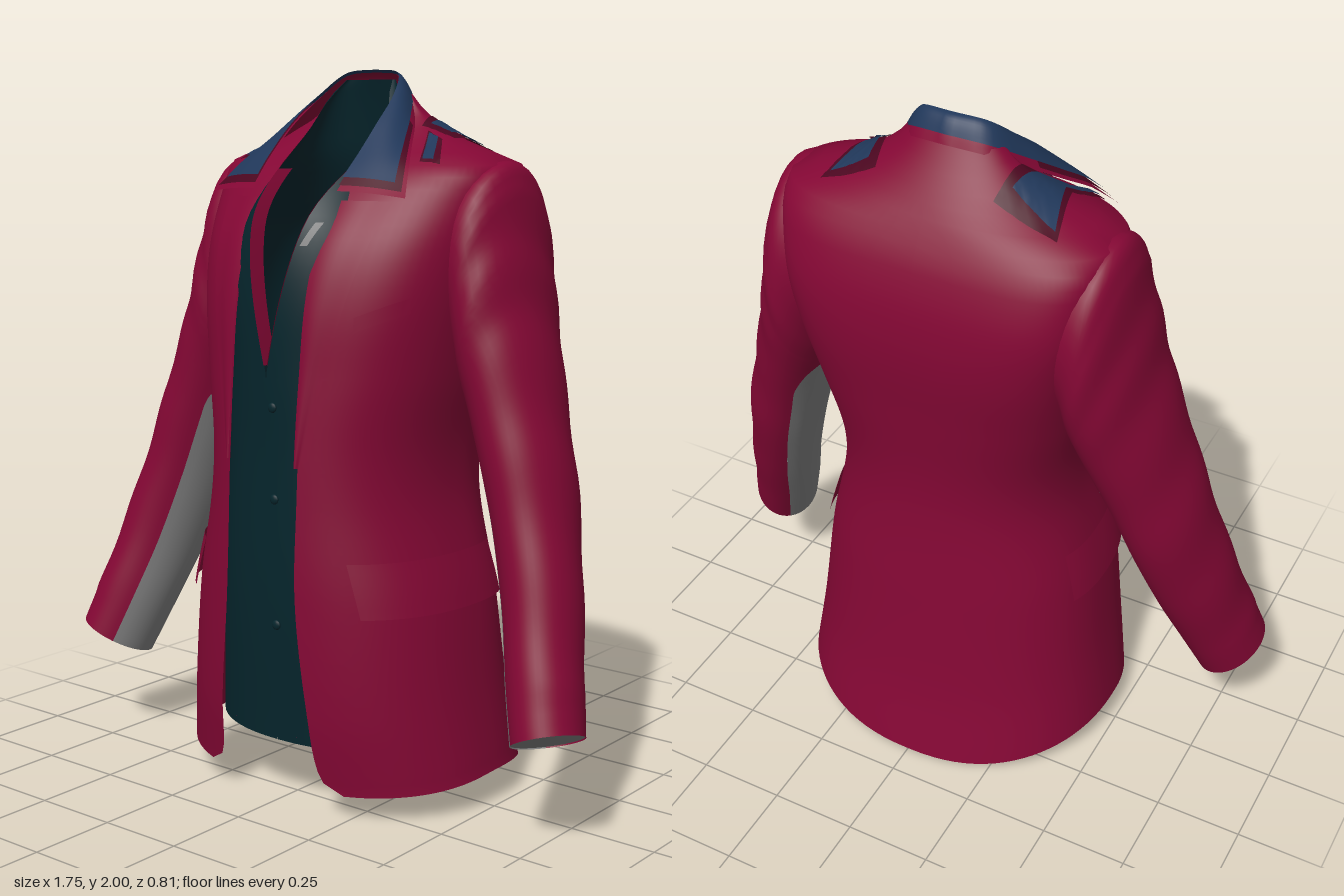
import * as THREE from 'three';

const mat = (name, color) => new THREE.MeshStandardMaterial({ name, color, side: THREE.DoubleSide });

// Smooth lookup through rows of [key, value, value, ...]
function track(rows) {
  const slope = (i, c) => {
    const a = rows[Math.max(i - 1, 0)], b = rows[Math.min(i + 1, rows.length - 1)];
    return (b[c] - a[c]) / (b[0] - a[0]);
  };
  return (k) => {
    k = THREE.MathUtils.clamp(k, rows[0][0], rows[rows.length - 1][0]);
    let i = 0;
    while (i < rows.length - 2 && k > rows[i + 1][0]) i++;
    const h = rows[i + 1][0] - rows[i][0], f = (k - rows[i][0]) / h, f2 = f * f, f3 = f2 * f;
    return rows[i].slice(1).map((p, j) => (2 * f3 - 3 * f2 + 1) * p + (f3 - 2 * f2 + f) * h * slope(i, j + 1)
      + (3 * f2 - 2 * f3) * rows[i + 1][j + 1] + (f3 - f2) * h * slope(i + 1, j + 1));
  };
}

// Grid surface from a rule (u, v in 0..1) => [x, y, z]
function surface(name, material, nu, nv, rule) {
  const pos = [], index = [];
  for (let j = 0; j <= nv; j++) for (let i = 0; i <= nu; i++) pos.push(...rule(i / nu, j / nv));
  for (let j = 0; j < nv; j++) for (let i = 0; i < nu; i++) {
    const a = j * (nu + 1) + i, b = a + nu + 1;
    index.push(a, a + 1, b, a + 1, b + 1, b);
  }
  const g = new THREE.BufferGeometry();
  g.setAttribute('position', new THREE.Float32BufferAttribute(pos, 3));
  g.setIndex(index);
  g.computeVertexNormals();
  const m = new THREE.Mesh(g, material);
  m.name = name;
  return m;
}

const { lerp, clamp } = THREE.MathUtils;

// Jacket sections: y, half width, back z, front z, side z, front roundness, back roundness
const jacket = track([
  [0.10, 0.485, -0.41, 0.375, 0, 2.3, 2.3], [0.30, 0.455, -0.365, 0.405, 0, 2.3, 2.3], [0.60, 0.415, -0.33, 0.412, 0, 2.3, 2.3],
  [0.85, 0.362, -0.31, 0.405, 0, 2.3, 2.3], [1.0, 0.36, -0.312, 0.397, -0.01, 2.3, 2.4], [1.2, 0.395, -0.335, 0.375, -0.03, 2.4, 2.8],
  [1.4, 0.425, -0.358, 0.348, -0.05, 2.5, 3.5], [1.55, 0.445, -0.352, 0.30, -0.07, 2.5, 4], [1.68, 0.46, -0.318, 0.215, -0.08, 2.4, 3.8],
  [1.735, 0.464, -0.29, 0.165, -0.08, 2.3, 3.3], [1.765, 0.45, -0.272, 0.125, -0.08, 2.2, 2.7], [1.80, 0.35, -0.247, 0.08, -0.08, 2, 2.1],
  [1.85, 0.24, -0.21, 0.02, -0.08, 2, 2], [1.90, 0.17, -0.172, -0.045, -0.08, 2, 2], [1.94, 0.135, -0.145, -0.07, -0.08, 2, 2]]);
const jacketEdge = track([
  [0.10, 0.24], [0.12, 0.195], [0.17, 0.17], [0.3, 0.155], [0.6, 0.122], [0.9, 0.12],
  [1.2, 0.122], [1.65, 0.13], [1.85, 0.15], [1.94, 0.12]]);

// Shirt sections in the same layout
const shirt = track([
  [0.18, 0.38, -0.30, 0.335, 0, 2.2, 2.2], [0.6, 0.35, -0.27, 0.36, 0, 2.2, 2.2], [1.0, 0.31, -0.25, 0.362, 0, 2.2, 2.2],
  [1.2, 0.31, -0.26, 0.37, 0, 2, 2], [1.4, 0.31, -0.27, 0.37, 0, 2, 2], [1.55, 0.28, -0.25, 0.352, 0, 2, 2],
  [1.65, 0.23, -0.2, 0.315, 0, 2, 2], [1.76, 0.175, -0.155, 0.21, -0.01, 2, 2], [1.85, 0.148, -0.132, 0.085, -0.03, 2, 2],
  [1.93, 0.12, -0.112, -0.005, -0.05, 2, 2], [1.98, 0.085, -0.097, -0.06, -0.08, 2, 2]]);
const shirtEdge = track([[0.18, 0.001], [1.2, 0.001], [1.24, 0.008], [1.65, 0.1], [1.85, 0.13], [1.98, 0.08]]);

// Point on a section by angle, measured from the front
function ringPoint(section, th, y, out = 0) {
  const [w, zb, zf, zc, nf, nb] = section(y), s = Math.sin(th), c = Math.cos(th);
  const d = c > 0 ? zf - zc : zc - zb, n = c > 0 ? nf : nb;
  return [(w + out) * Math.sign(s) * Math.abs(s) ** (2 / n), y, zc + (d + out) * Math.sign(c) * Math.abs(c) ** (2 / n)];
}
const angleAt = (section, x, y) => {
  const [w, , , , n] = section(y);
  return Math.asin(Math.min(Math.abs(x) / w, 0.99) ** (n / 2));
};
// Point lying on the front of a section at a given x
const onFront = (section, x, y, out) => {
  const p = ringPoint(section, angleAt(section, x, y), y, out);
  return [x, y, p[2]];
};
// Height of the jacket shoulders above x, z
function shoulderY(x, z) {
  for (let y = 1.93; y > 1.5; y -= 0.002) {
    const [w, zb, zf, zc, nf, nb] = jacket(y), d = z > zc ? zf - zc : zc - zb, n = z > zc ? nf : nb;
    if (Math.abs(x / w) ** n + Math.abs((z - zc) / d) ** n <= 1) return y;
  }
  return 1.5;
}

// Sleeve rings: t, outer x y, inner x y, centre z, depth
const sleeve = track([
  [0, 0.385, 1.76, 0.32, 1.32, -0.09, 0.19], [1, 0.475, 1.757, 0.36, 1.25, -0.09, 0.208],
  [2, 0.515, 1.645, 0.38, 1.19, -0.085, 0.213], [3, 0.55, 1.50, 0.40, 1.13, -0.07, 0.205],
  [4, 0.59, 1.35, 0.43, 1.05, -0.055, 0.187], [5, 0.652, 1.15, 0.48, 0.91, -0.025, 0.165],
  [6, 0.715, 0.94, 0.53, 0.76, 0.005, 0.15], [7, 0.775, 0.72, 0.59, 0.57, 0.06, 0.132],
  [8, 0.83, 0.51, 0.64, 0.41, 0.125, 0.12], [9, 0.875, 0.345, 0.69, 0.265, 0.18, 0.11]]);
function sleevePoint(a, t, side, shrink = 1) {
  const [ox, oy, ix, iy, cz, rz] = sleeve(t), c = Math.cos(a), s = Math.sin(a);
  const fold = t > 1.5 && t < 8.5 ? 0.02 * Math.sin(t * 4.6 + 1.5 * s) * Math.max(0, c + 0.3) : 0;
  const r = shrink * (1 + fold);
  return [side * ((ox + ix) / 2 + (ox - ix) / 2 * c * r), (oy + iy) / 2 + ((oy - iy) / 2 * c + 0.004 * t * s) * r, cz + rz * s * r];
}
// Half angle of the grey inner panel, arched at the armpit
const panelAngle = (t) => 0.88 * Math.sqrt(clamp((t - 2.9) / 1.6, 0, 1));

// Collar: fold edge and falling edge, from centre back to the tip
const collarLine = track([
  [0, 0, 2.0, -0.10, 0, 1.94, -0.15], [1, 0.09, 1.99, -0.085, 0.115, 1.925, -0.125], [2, 0.13, 1.93, -0.015, 0.19, 1.86, -0.03],
  [3, 0.148, 1.855, 0.08, 0.24, 1.805, 0.05], [4, 0.152, 1.77, 0.17, 0.29, 1.75, 0.13], [5, 0.145, 1.69, 0.25, 0.335, 1.675, 0.205]]);
function collarPoint(t, v, lift) {
  const [ax, ay, az, bx, by, bz] = collarLine(Math.abs(t)), k = Math.abs(t) / 5;
  const bulge = 0.018 * Math.sin(Math.PI * v) * (1 - 0.8 * k) + lift;
  return [Math.sign(t) * lerp(ax, bx, v), lerp(ay, by, v) + bulge, lerp(az, bz, v) + bulge * k];
}

// Shoulder patches, four corners each in x, z: border and cloth
const patches = {
  1: [[[0.18, -0.18], [0.33, -0.205], [0.3, -0.06], [0.21, -0.035]], [[0.215, -0.155], [0.312, -0.185], [0.28, -0.075], [0.225, -0.055]]],
  [-1]: [[[0.16, -0.19], [0.34, -0.2], [0.28, 0.035], [0.185, -0.04]], [[0.19, -0.145], [0.325, -0.18], [0.262, 0.03], [0.212, -0.045]]],
};
const stripes = [[[0.235, -0.03], [0.285, -0.025], [0.35, 0.075], [0.295, 0.09]], [[0.245, -0.02], [0.275, -0.02], [0.328, 0.075], [0.3, 0.085]]];

export function createModel() {
  const crimson = mat('crimson cloth', 0x840734), teal = mat('dark teal cloth', 0x05252c);
  const navy = mat('navy collar', 0x203759), trim = mat('dark red trim', 0x4a061f), grey = mat('grey lining', 0x808080);
  const model = new THREE.Group();
  model.name = 'jacket';
  const add = (...a) => model.add(surface(...a));

  // Jacket shell, with a dipping back hem and rounded front corners
  add('jacketBody', crimson, 80, 60, (u, v) => {
    const y = lerp(0.1, 1.94, v), th0 = angleAt(jacket, jacketEdge(y)[0], y);
    const th = lerp(th0, 2 * Math.PI - th0, u), p = ringPoint(jacket, th, y), c = Math.cos(th);
    p[1] -= (c > 0 ? 0.03 * c : 0.095 * c * c) * Math.max(0, 1 - (y - 0.1) / 0.5);
    return p;
  });

  // Shirt with its V opening, closed underneath
  add('shirt', teal, 64, 56, (u, v) => {
    const y = lerp(0.18, 1.98, v), th0 = angleAt(shirt, shirtEdge(y)[0], y);
    return ringPoint(shirt, lerp(th0, 2 * Math.PI - th0, u), y);
  });
  for (const [name, m, base] of [['shirtFloor', teal, 0.215], ['liningFloor', crimson, 0.2]])
    add(name, m, 40, 6, (u, v) => {
      const p = ringPoint(shirt, u * 2 * Math.PI, 0.2);
      return [p[0] * v, base + 0.1 * (1 - v * v), p[2] * v];
    });
  add('shirtPlacket', teal, 4, 30, (u, v) => onFront(shirt, lerp(-0.005, 0.06, u), lerp(0.19, 1.2, v), 0.006));
  for (const y of [0.52, 0.87, 1.12]) {
    const button = new THREE.Mesh(new THREE.SphereGeometry(0.014, 12, 8), teal);
    button.name = 'shirtButton';
    button.scale.z = 0.5;
    button.position.set(...onFront(shirt, 0.025, y, 0.009));
    model.add(button);
  }
  add('liningGlimpse', grey, 2, 8, (u, v) => onFront(shirt, lerp(0.092, 0.11, u) + 0.025 * v, lerp(1.55, 1.61, v), 0.006));

  // Folded collar: crimson under layer, dark trim and navy top
  const collar = (name, m, v1, t0, t1, lift) =>
    add(name, m, 60, 8, (u, v) => collarPoint(lerp(t0, t1, u), v * v1, lift));
  collar('collarUnder', crimson, 1, -5, 5, 0);
  collar('collarTrim', trim, 0.95, 2.2, 4.86, 0.004);
  collar('collarTrim', trim, 0.95, -4.86, -2.2, 0.004);
  collar('collar', navy, 0.85, -4.65, 4.65, 0.008);

  for (const side of [1, -1]) {
    // Sleeve cloth, its grey inner panel and the cuff lining
    add('sleeve', crimson, 36, 54, (u, v) => {
      const t = 9 * v, open = Math.PI - panelAngle(t);
      return sleevePoint(lerp(-open, open, u), t, side);
    });
    add('sleeveInnerPanel', grey, 10, 40, (u, v) => {
      const t = lerp(2.9, 9, v), h = panelAngle(t);
      return sleevePoint(Math.PI + lerp(-h, h, u), t, side);
    });
    add('cuffLining', grey, 32, 3, (u, v) => sleevePoint(u * 2 * Math.PI, 8.98, side, v * 0.99));

    // Lapel lying on the front
    add('lapel', crimson, 8, 28, (u, v) => {
      const y = lerp(0.97, 1.665, v), x = lerp(jacketEdge(y)[0] - 0.004, lerp(0.13, 0.285, v), u);
      return onFront(jacket, side * x, y, 0.006 + 0.008 * Math.sin(Math.PI * Math.min(u + 0.2, 0.9)));
    });

    // Pocket flap wrapping round the hip
    add('pocketFlap', crimson, 24, 5, (u, v) => {
      const p = ringPoint(jacket, lerp(lerp(0.7, 0.64, v), 1.95, u), lerp(0.575, 0.72, v), lerp(0.016, 0.006, v));
      return [side * p[0], p[1], p[2]];
    });

    // Facing turned in along the shirt opening
    add('shirtFacing', crimson, 3, 24, (u, v) => {
      const y = lerp(1.23, 1.74, v), p = onFront(shirt, side * shirtEdge(y)[0], y, 0.003);
      return [p[0] - side * 0.008 * u * v, y, p[2] - 0.05 * u];
    });

    // Shoulder patches draped on the cloth
    for (const [name, pair] of [['shoulderPatch', patches[side]], ['shoulderStripe', stripes]])
      pair.forEach(([a, b, c, d], i) => add(name + (i ? '' : 'Border'), i ? navy : trim, 10, 10, (u, v) => {
        const x = lerp(lerp(a[0], b[0], u), lerp(d[0], c[0], u), v), z = lerp(lerp(a[1], b[1], u), lerp(d[1], c[1], u), v);
        return [side * x, shoulderY(x, z) + 0.006 + 0.005 * i, z];
      }));
  }

  // Breast pocket welt
  add('breastPocket', crimson, 8, 2, (u, v) => onFront(jacket, lerp(0.25, 0.36, u), 1.33 + 0.05 * u + 0.04 * v, 0.005));

  return model;
}
